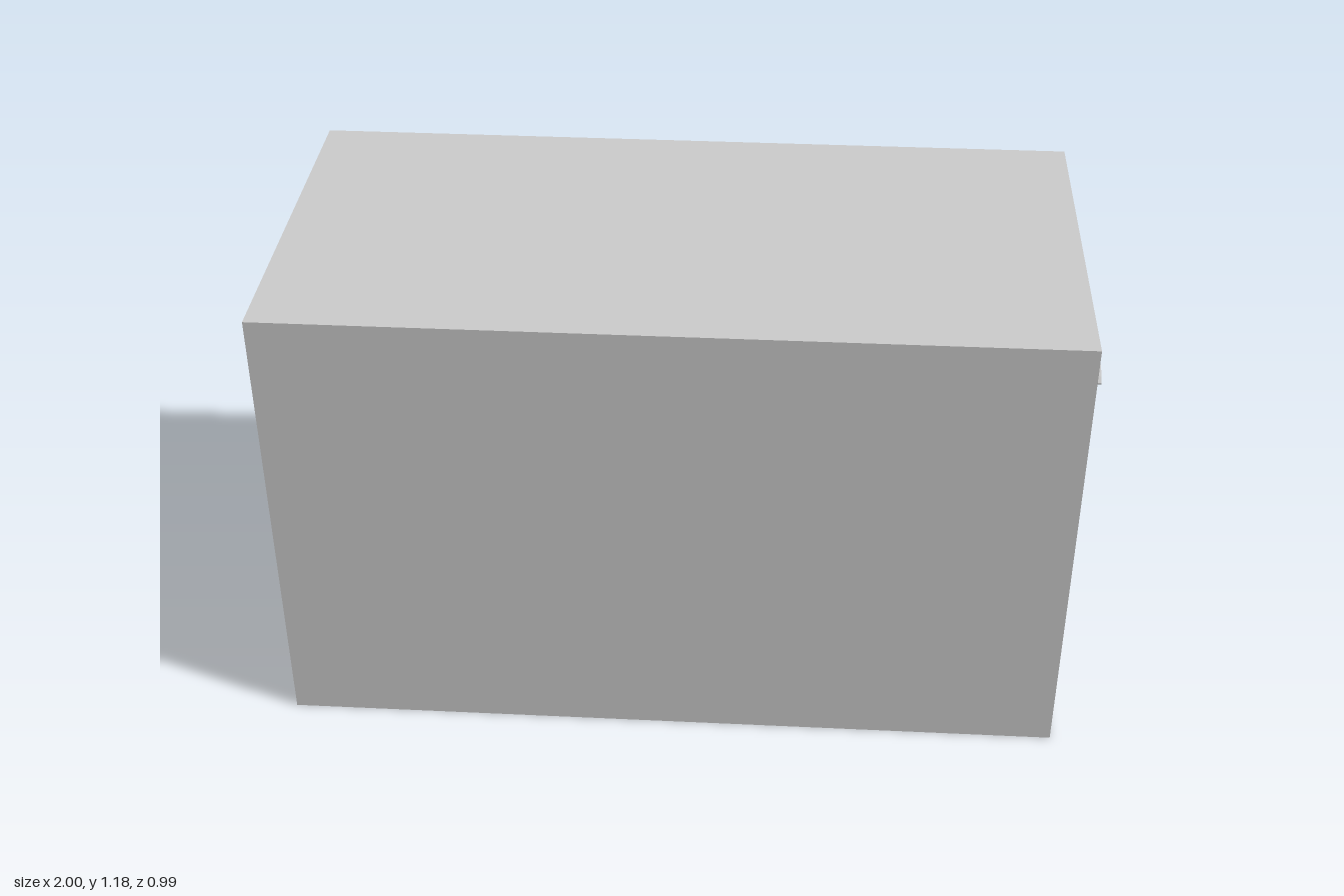
import * as THREE from 'three';

const material = new THREE.MeshStandardMaterial({ color: 0xcccccc, flatShading: true, side: THREE.DoubleSide });
const H = 1.185, W = 0.493, BACK = -1, END = 0.97, DOOR = 0.953, GROOVE = 0.925;

// Outlines on the end wall: u runs along -z, v runs along y
const rect = (u, v0, v1) => [[-u, v0], [u, v0], [u, v1], [-u, v1]];
const circle = (u, v, r, n = 14) => Array.from({ length: n }, (_, i) => {
  const a = ((i + 0.5) / n) * Math.PI * 2;
  return [u + r * Math.cos(a), v + r * Math.sin(a)];
});
const toPath = (pts, Type) => new Type(pts.map(p => new THREE.Vector2(...p)));

// Flat panel facing +x, with an optional hole
function panel(outline, x, hole) {
  const shape = toPath(outline, THREE.Shape);
  if (hole) shape.holes.push(toPath(hole, THREE.Path));
  return new THREE.ShapeGeometry(shape).rotateY(Math.PI / 2).translate(x, 0, 0);
}

// Band of quads from an outer outline at x0 to an inner outline at x1
function band(outer, x0, inner, x1) {
  const pos = [];
  const n = outer.length;
  for (let i = 0; i < n; i++) {
    const j = (i + 1) % n;
    const a = [x0, outer[i][1], -outer[i][0]], b = [x0, outer[j][1], -outer[j][0]];
    const c = [x1, inner[j][1], -inner[j][0]], d = [x1, inner[i][1], -inner[i][0]];
    pos.push(...a, ...b, ...c, ...a, ...c, ...d);
  }
  const geo = new THREE.BufferGeometry();
  geo.setAttribute('position', new THREE.Float32BufferAttribute(pos, 3));
  geo.computeVertexNormals();
  return geo;
}

export function createModel() {
  const group = new THREE.Group();
  const add = (name, geo) => {
    const mesh = new THREE.Mesh(geo, material);
    mesh.name = name;
    group.add(mesh);
    return mesh;
  };

  // Thin shell, open underneath
  const L = END - BACK, mid = (END + BACK) / 2;
  add('topWall', new THREE.PlaneGeometry(L, 2 * W).rotateX(-Math.PI / 2).translate(mid, H, 0));
  add('frontWall', new THREE.PlaneGeometry(L, H).translate(mid, H / 2, W));
  add('backWall', new THREE.PlaneGeometry(L, H).rotateY(Math.PI).translate(mid, H / 2, -W));
  add('plainEndWall', new THREE.PlaneGeometry(2 * W, H).rotateY(-Math.PI / 2).translate(BACK, H / 2, 0));

  // Door frame, groove and bevelled door
  const opening = rect(0.437, 0.07, 1.118), doorEdge = rect(0.418, 0.091, 1.097);
  const dishRim = circle(0.272, 0.592, 0.117), dishFloor = circle(0.272, 0.592, 0.092);
  add('doorFrame', panel(rect(W, 0, H), END, opening));
  add('grooveWall', band(opening, END, opening, GROOVE));
  add('doorBevel', band(opening, GROOVE, doorEdge, DOOR));
  add('door', panel(doorEdge, DOOR, dishRim));

  // Round dish with an upright grip across it
  add('dishWall', band(dishRim, DOOR, dishFloor, DOOR - 0.03));
  add('dishFloor', panel(dishFloor, DOOR - 0.03));
  add('latchGrip', new THREE.BoxGeometry(0.062, 0.266, 0.047).translate(0.954, 0.593, -0.274));

  // Thin drip ledge with ends curving down
  const half = [[0.379, 1.018], [0.366, 1.03], [0.35, 1.038], [0.33, 1.0425]];
  const upper = [...half.map(([u, v]) => [-u, v]), ...half.slice().reverse()];
  const lower = upper.map(([u, v]) => [u * 0.993, v - 0.005]).reverse();
  const ledge = toPath([...upper, ...lower], THREE.Shape);
  add('dripLedge', new THREE.ExtrudeGeometry(ledge, { depth: 1 - DOOR, bevelEnabled: false })
    .rotateY(Math.PI / 2).translate(DOOR, 0, -0.009));

  return group;
}
